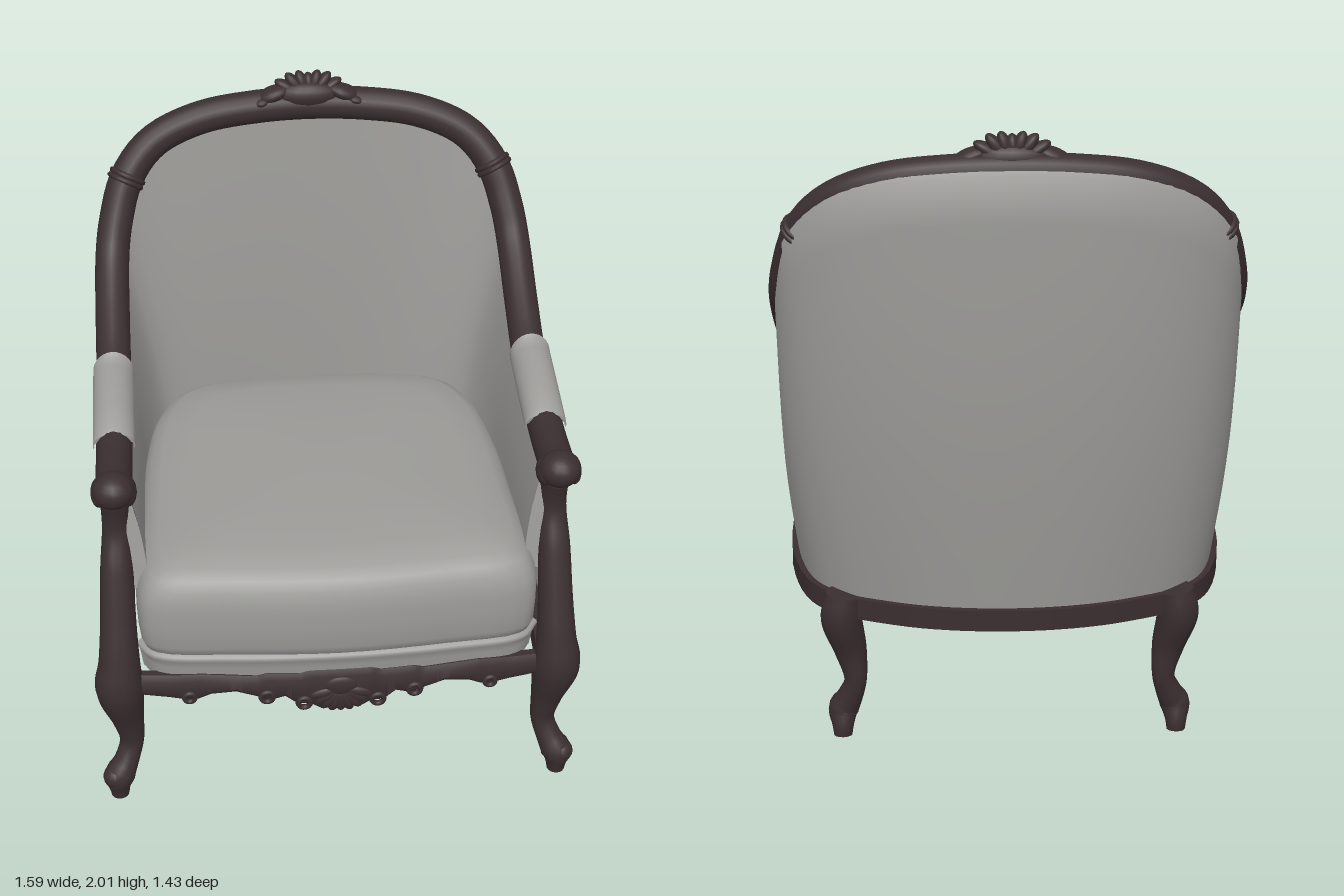
import * as THREE from 'three';
import { toCreasedNormals } from 'three/addons/utils/BufferGeometryUtils.js';

const wood = new THREE.MeshStandardMaterial({ color: 0x3a2e30, side: THREE.DoubleSide });
wood.name = 'dark wood';
const fabric = new THREE.MeshStandardMaterial({ color: 0x9b9a97, side: THREE.DoubleSide });
fabric.name = 'grey fabric';

const V = (x, y, z) => new THREE.Vector3(x, y, z);
const mirror = (half) => [...half, ...half.slice(0, -1).reverse().map(([x, y, z]) => [-x, y, z])];
const spline = (pts, closed = false) => new THREE.CatmullRomCurve3(pts.map((p) => V(...p)), closed);

// Surface through rows of points; closed joins the end of each row to its start
function sheet(rows, closed, crease = 0.9) {
  const n = rows[0].length, index = [];
  for (let i = 0; i < rows.length - 1; i++) {
    for (let j = 0; j < (closed ? n : n - 1); j++) {
      const k = (j + 1) % n, a = i * n + j, b = i * n + k, c = b + n, d = a + n;
      index.push(a, b, c, a, c, d);
    }
  }
  const geo = new THREE.BufferGeometry().setFromPoints(rows.flat());
  geo.setIndex(index);
  geo.computeVertexNormals();
  return toCreasedNormals(geo, crease);
}

// Round limb through [x, y, z, radius] points
function limb(pts, steps, sides = 14) {
  const path = spline(pts), radii = spline(pts.map((p) => [p[3], 0, 0]));
  radii.curveType = path.curveType = 'catmullrom';
  const frames = path.computeFrenetFrames(steps), rows = [];
  const ring = (i, k) => {
    const t = path.getUtoTmapping(i / steps), c = path.getPoint(t), r = radii.getPoint(t).x * k;
    return Array.from({ length: sides }, (_, j) => {
      const a = (j / sides) * Math.PI * 2;
      return c.clone().addScaledVector(frames.normals[i], r * Math.cos(a))
        .addScaledVector(frames.binormals[i], r * Math.sin(a));
    });
  };
  rows.push(ring(0, 0));
  for (let i = 0; i <= steps; i++) rows.push(ring(i, 1));
  rows.push(ring(steps, 0));
  return sheet(rows, true);
}

// Matching control points of the top rail and the base rail
const railPts = mirror([[.69, 1.17, .47], [.69, 1.175, .3], [.69, 1.225, 0], [.69, 1.32, -.2],
  [.685, 1.455, -.385], [.665, 1.57, -.465], [.62, 1.695, -.53], [.525, 1.795, -.585],
  [.37, 1.856, -.62], [.19, 1.88, -.638], [0, 1.887, -.645]]);
const basePts = mirror([[.69, .5, .57], [.70, .5, .35], [.70, .5, 0], [.68, .5, -.2],
  [.63, .5, -.38], [.58, .5, -.46], [.50, .5, -.525], [.40, .5, -.57],
  [.28, .5, -.61], [.14, .5, -.635], [0, .5, -.643]]);
const rail = spline(railPts), base = spline(basePts);
const outward = (curve, u) => {
  const t = curve.getTangent(u);
  return V(-t.z, 0, t.x).normalize();
};

export function createModel() {
  const chair = new THREE.Group();
  const add = (name, geo, mat, parent = chair) => {
    const m = new THREE.Mesh(geo, mat);
    m.name = name;
    parent.add(m);
    return m;
  };
  const ball = new THREE.SphereGeometry(1, 16, 12);
  const blob = (name, pos, size, mat, parent) => {
    const m = add(name, ball, mat, parent);
    m.position.set(...pos);
    m.scale.set(...size);
    return m;
  };

  // Upholstered shell, hollow under the seat: outside, inside and the two front ends
  const N = 80, M = 10, outer = [], inner = [];
  for (let i = 0; i <= N; i++) {
    const u = i / N, b = base.getPoint(u), t = rail.getPoint(u);
    const nb = outward(base, u), nt = outward(rail, u);
    const high = THREE.MathUtils.smoothstep(t.y, 1.25, 1.85);
    const wall = (y0, off0, off1, bulge) => {
      const p0 = b.clone().addScaledVector(nb, off0).setY(y0), p1 = t.clone().addScaledVector(nt, off1);
      return Array.from({ length: M + 1 }, (_, k) =>
        p0.clone().lerp(p1, k / M).addScaledVector(nb, bulge * Math.sin((k / M) * Math.PI)));
    };
    outer.push([...wall(.5, .01, .03 + .035 * high, .026),
      t.clone().addScaledVector(nt, .025 + .015 * high).add(V(0, .035 * high, 0))]);
    inner.push(wall(.76, -.095 - .035 * high, -.03, -.012));
  }
  add('outerUpholstery', sheet(outer, false, 1.2), fabric);
  add('innerUpholstery', sheet(inner.map((r) => r.slice().reverse()), false, 1.2), fabric);
  for (const i of [0, N]) add('upholsteryFrontEnd', sheet([outer[i].slice(4, M + 1), inner[i].slice(0, 7).concat(inner[i].slice(-1)).slice(-(M - 3))], false), fabric);

  // Top rail running from arm to arm
  const railTube = [[.69, 1.18, .57], ...railPts, [-.69, 1.18, .57]].map((p) => [...p, .057]);
  add('topRail', limb(railTube, 120, 16), wood);

  // Base rail, a square section following the plan
  const section = [[-.035, -.07], [.03, -.07], [.03, 0], [-.035, 0]];
  const baseRows = Array.from({ length: 61 }, (_, i) => {
    const p = base.getPoint(i / 60), n = outward(base, i / 60);
    return section.map(([o, y]) => p.clone().addScaledVector(n, o).add(V(0, y, 0)));
  });
  add('baseRail', sheet(baseRows, true, 0.6), wood);

  // Seat front band and cushion: plan outlines scaled level by level;
  // the open underside of the cushion rises behind its front
  const plan = mirror([[0, 0, .70], [.35, 0, .68], [.59, 0, .65], [.632, 0, .6], [.627, 0, .2],
    [.612, 0, -.1], [.57, 0, -.33], [.48, 0, -.47], [.3, 0, -.525], [0, 0, -.535]]).slice(0, -1);
  const stack = (outline, closed, levels) => sheet(levels.map(([y, s]) => outline.map((p) =>
    V(p.x * s, Math.max(y, .76 - .3 * THREE.MathUtils.smoothstep(p.z, .3, .5)), .08 + (p.z - .08) * s))), closed, 1.1);
  const front = spline(mirror([[.645, 0, .57], [.59, 0, .64], [.35, 0, .675], [0, 0, .69]])).getPoints(36);
  add('seatFrontBand', stack(front, false, [[.48, .985], [.54, .995], [.565, 1], [.58, 1.015], [.59, 1.01], [.6, .97]]), fabric);
  add('seatCushion', stack(spline(plan, true).getPoints(72).slice(0, -1), true,
    [[.585, .965], [.6, .99], [.63, 1.003], [.70, 1.006], [.77, 1.005], [.81, .995], [.845, .975],
      [.875, .945], [.9, .885], [.918, .74], [.93, .5], [.937, .25], [.94, 0]]), fabric);

  const bow = (x) => .04 * (1 - (x / .65) ** 2);
  for (const s of [1, -1]) {
    const flip = (pts) => pts.map(([x, y, z, r]) => [s * x, y, z, r]);

    // Front post flowing into a cabriole leg
    add('frontPostAndLeg', limb(flip([[.69, 1.17, .5, .05], [.695, 1, .48, .043], [.70, .86, .53, .052],
      [.705, .7, .585, .057], [.71, .56, .625, .066], [.715, .45, .635, .079], [.697, .3, .618, .053],
      [.69, .2, .615, .04], [.712, .13, .64, .042], [.738, .08, .66, .052], [.74, .035, .662, .036],
      [.74, 0, .662, .03]]), 60), wood);
    blob('frontToe', [s * .75, .085, .668], [.042, .04, .042], wood);

    // Back leg
    add('backLeg', limb(flip([[.53, .505, -.53, .058], [.54, .42, -.53, .066], [.515, .3, -.51, .053],
      [.5, .2, -.52, .037], [.52, .13, -.51, .042], [.543, .08, -.5, .05], [.545, .035, -.525, .036],
      [.545, 0, -.53, .03]]), 40), wood);

    // Scrolled arm end
    blob('armKnob', [s * .69, 1.187, .555], [.066, .058, .066], wood);
    for (const e of [-1, 1]) blob('armKnobSide', [s * .69 + e * .045, 1.17, .54], [.026, .045, .05], wood);

    // Arm pad, a saddle over the rail
    const padRows = [[.31, .95, .02], [.312, 1, .045], [.29, 1, .056], [.2, 1, .066], [.1, 1, .068],
      [.03, 1, .066], [0, 1, .064], [-.015, 1, .078], [-.02, .95, .03]].map(([z, w, h]) => {
      const yc = 1.182 + .065 * (.31 - z) / .33;
      return Array.from({ length: 17 }, (_, j) => {
        const a = -.25 + (j / 16) * (Math.PI + .5);
        return V(s * .69 + w * .067 * Math.cos(a), yc + h * Math.sin(a), z);
      });
    });
    add('armPad', sheet(padRows.reverse(), false), fabric);

    // Carved collar where arm meets crest
    const u = .5 + s * -.203;
    for (const d of [-.003, .003]) {
      const ring = add('railCollar', new THREE.TorusGeometry(.055, .01, 8, 24), wood);
      ring.position.copy(rail.getPoint(u + d));
      ring.quaternion.setFromUnitVectors(V(0, 0, 1), rail.getTangent(u));
    }

    // Small scrolls on the apron
    for (const [x, y, r] of [[.49, .43, .017], [.24, .43, .02], [.12, .4, .02]]) {
      const scroll = add('apronScroll', new THREE.TorusGeometry(r, .009, 8, 18), wood);
      scroll.position.set(s * x, y, .663 + bow(x));
    }
  }

  // Carved front apron, bowed forwards: wavy lower and upper edges given as [x, y]
  const lower = [[0, .36], [.07, .365], [.10, .385], [.14, .385], [.18, .42], [.23, .405], [.28, .425],
    [.34, .445], [.42, .435], [.46, .415], [.51, .412], [.56, .42], [.67, .43]];
  const upper = [[0, .522], [.1, .522], [.13, .512], [.24, .515], [.27, .505], [.36, .51], [.45, .515], [.55, .508], [.67, .505]];
  const heightAt = (edge, x) => {
    const i = Math.max(1, edge.findIndex((p) => p[0] >= x)), [a, b] = [edge[i - 1], edge[i]];
    return a[1] + (b[1] - a[1]) * (x - a[0]) / (b[0] - a[0]);
  };
  const apronRows = Array.from({ length: 135 }, (_, i) => {
    const x = (i - 67) / 100, lo = heightAt(lower, Math.abs(x)), up = heightAt(upper, Math.abs(x)), z = .62 + bow(x);
    return [[lo, 0], [up, 0], [up, .025], [up - .02, .038], [lo + .02, .045], [lo, .03]].map(([y, d]) => V(x, y, z + d));
  });
  add('frontApron', sheet(apronRows.reverse(), true), wood);

  // Shell carving: a fan of petals
  const fan = (name, pos, petals, spread, length, dir, depth) => {
    const g = new THREE.Group();
    g.name = name;
    g.position.set(...pos);
    for (let i = 0; i < petals; i++) {
      const a = spread * ((2 * i) / (petals - 1) - 1), len = length(Math.abs(a));
      const p = blob('petal', [Math.sin(a) * len * .55, dir * Math.cos(a) * len * .55, 0], [.022, len * .5, depth], wood, g);
      p.rotation.z = -dir * a;
    }
    chair.add(g);
    return g;
  };
  fan('apronShell', [0, .45, .69], 9, 1.3, (a) => .095 + .012 * a, -1, .02);
  blob('apronShellHeart', [0, .46, .692], [.06, .04, .018], wood);

  // Crest carving on top of the rail
  const crest = fan('crestShell', [0, 1.905, -.635], 9, 1.35, (a) => .09 + .035 * a, 1, .03);
  crest.rotation.x = -.1;
  blob('crestHeart', [0, 1.925, -.635], [.12, .05, .05], wood);
  for (const s of [1, -1]) {
    blob('crestLeaf', [s * .12, 1.93, -.63], [.06, .026, .042], wood).rotation.z = -s * .35;
    blob('crestLeafTip', [s * .16, 1.91, -.622], [.034, .018, .038], wood).rotation.z = -s * .2;
  }
  return chair;
}
